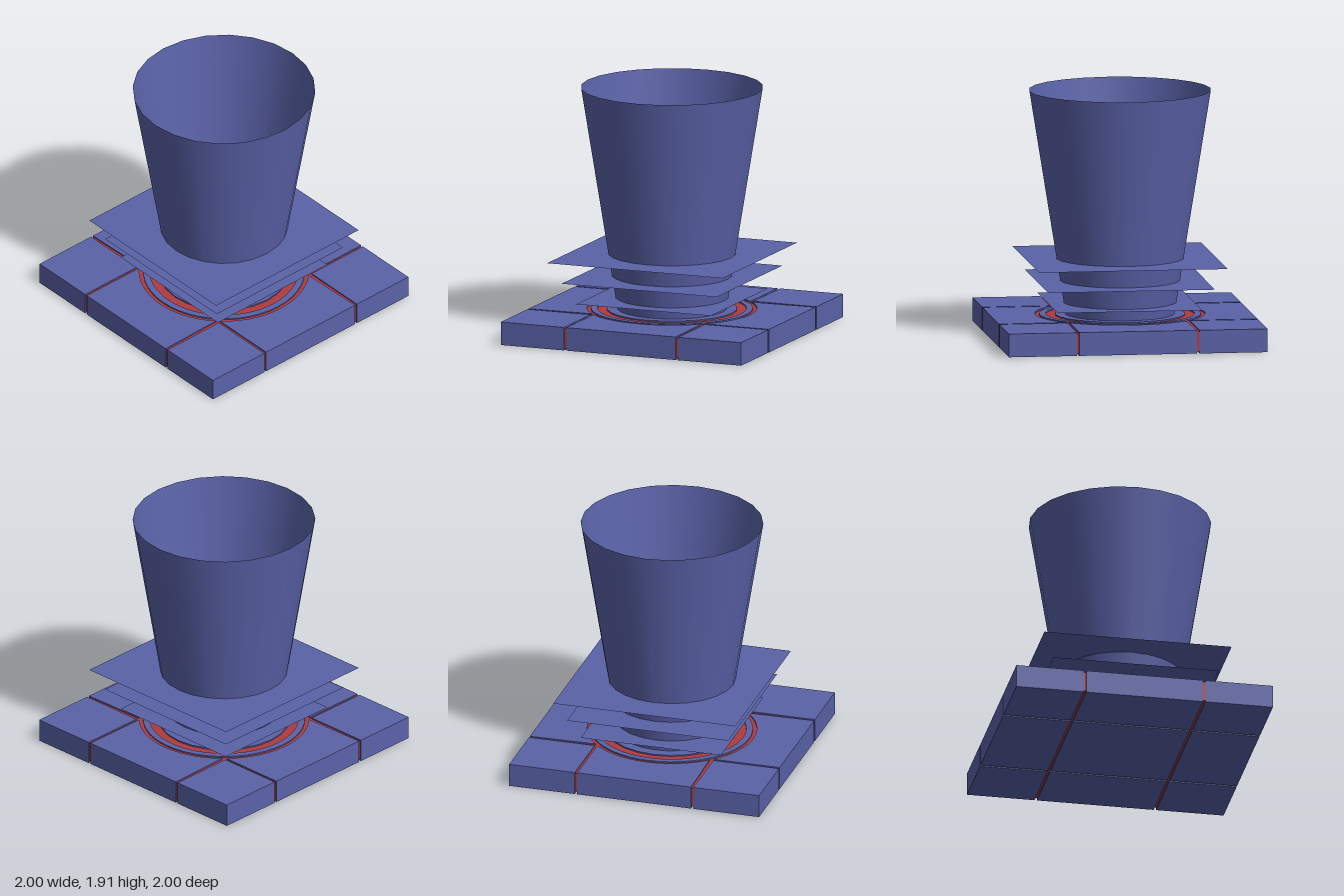
import * as THREE from 'three';

export function createModel() {
  const model = new THREE.Group();
  const blue = new THREE.MeshStandardMaterial({ color: 0x5a62a8 });
  const blueSheet = new THREE.MeshStandardMaterial({ color: 0x5a62a8, side: THREE.DoubleSide });
  const red = new THREE.MeshStandardMaterial({ color: 0xb03a3e });

  const add = (name, geometry, material, y = 0) => {
    const mesh = new THREE.Mesh(geometry, material);
    mesh.name = name;
    mesh.position.y = y;
    model.add(mesh);
    return mesh;
  };
  // Flat slab cut from a plan outline, rising from y = 0
  const slab = (shape, height) => new THREE.ExtrudeGeometry(shape, {
    depth: height, bevelEnabled: false, curveSegments: 24,
  }).rotateX(-Math.PI / 2);

  const TOP = 0.18, CUT = 0.15;   // tile top, floor of the round recess
  const INNER = 0.455, OUTER = 0.475, RECESS = 0.65;

  // Glowing core filling the joints between tiles
  add('glowingCore', new THREE.BoxGeometry(1.98, 0.155, 1.98), red, 0.0925);

  // Centre tile, below the round recess
  add('centreTile', new THREE.BoxGeometry(2 * INNER, CUT, 2 * INNER), blue, CUT / 2);

  // Edge tile bitten by the round recess in its upper layer
  const a = Math.asin(OUTER / RECESS);
  const edge = new THREE.Shape();
  edge.moveTo(-INNER, OUTER);
  edge.absarc(0, 0, RECESS, Math.PI - a, a, true);
  edge.lineTo(INNER, OUTER);
  edge.lineTo(INNER, 1);
  edge.lineTo(-INNER, 1);
  edge.closePath();
  const edgeTop = slab(edge, TOP - CUT);

  const side = 1 - OUTER, mid = (1 + OUTER) / 2;
  for (let i = 0; i < 4; i++) {
    const turn = i * Math.PI / 2;
    const base = new THREE.BoxGeometry(2 * INNER, CUT, side).translate(0, CUT / 2, -mid);
    add('edgeTileBase', base, blue).rotation.y = turn;
    add('edgeTileTop', edgeTop, blue, CUT).rotation.y = turn;
    const corner = new THREE.BoxGeometry(side, TOP, side).translate(mid, TOP / 2, -mid);
    add('cornerTile', corner, blue).rotation.y = turn;
  }

  // Raised ring and disc separated by glowing grooves
  const ring = new THREE.Shape().absarc(0, 0, 0.62, 0, Math.PI * 2);
  ring.holes.push(new THREE.Path().absarc(0, 0, 0.57, 0, Math.PI * 2, true));
  add('padRing', slab(ring, TOP - CUT), blue, CUT);
  add('padDisc', new THREE.CylinderGeometry(0.5, 0.5, TOP - CUT, 24), blue, (TOP + CUT) / 2);

  // Thin square sheets, widening upward
  for (const [half, y] of [[0.56, 0.27], [0.645, 0.44], [0.73, 0.61]]) {
    add('lightSheet', new THREE.PlaneGeometry(2 * half, 2 * half).rotateX(-Math.PI / 2), blueSheet, y);
  }

  // Open flared beam
  add('lightBeam', new THREE.CylinderGeometry(0.7, 0.42, 1.73, 24, 1, true), blueSheet, 0.18 + 0.865);

  return model;
}
